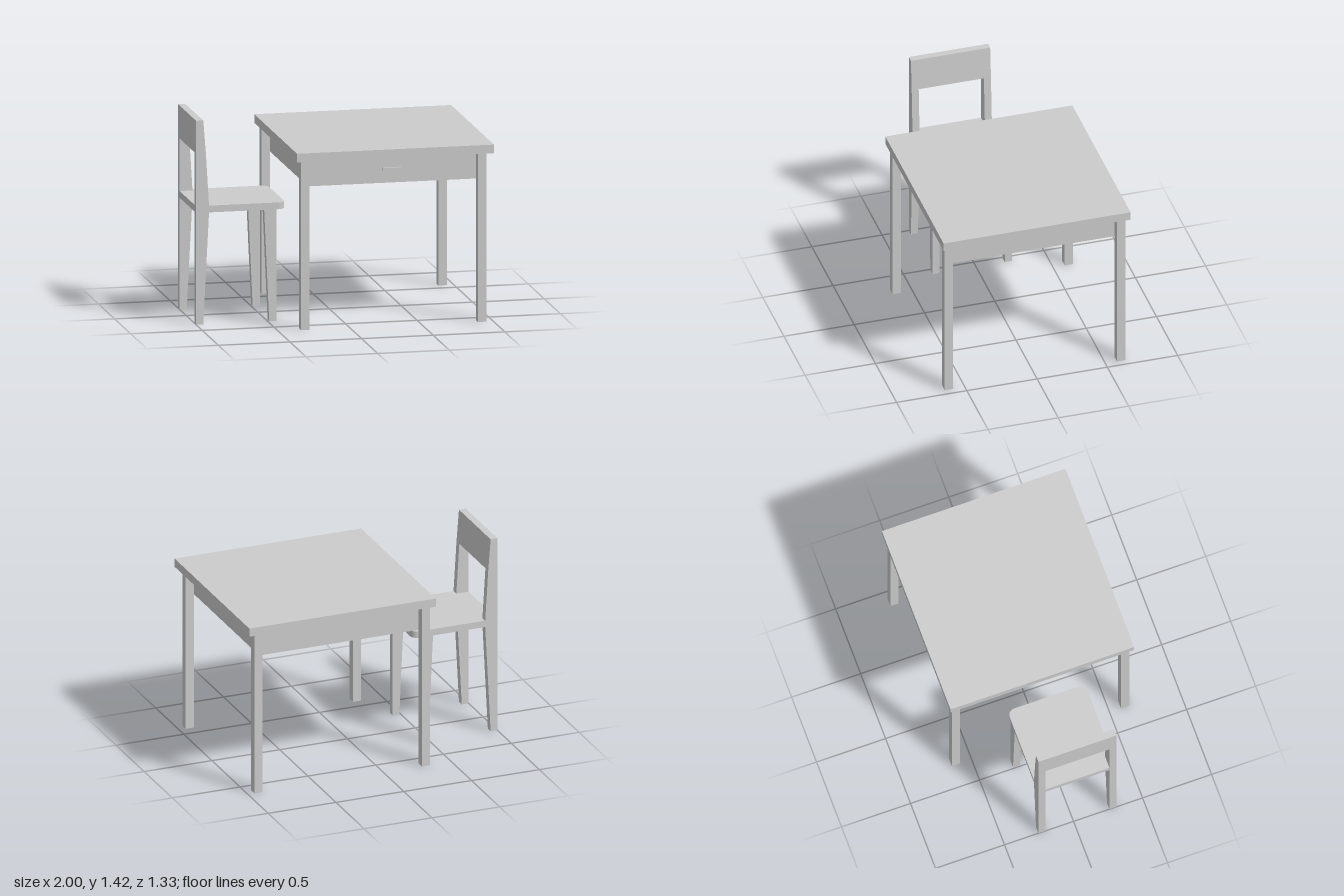
import * as THREE from 'three';

const material = new THREE.MeshStandardMaterial({ color: 0xcccccc, flatShading: true });

function add(parent, name, geometry) {
  const mesh = new THREE.Mesh(geometry, material);
  mesh.name = name;
  parent.add(mesh);
  return mesh;
}

// Box given by its extents on each axis
function box(parent, name, [x0, x1], [y0, y1], [z0, z1]) {
  const mesh = add(parent, name, new THREE.BoxGeometry(x1 - x0, y1 - y0, z1 - z0));
  mesh.position.set((x0 + x1) / 2, (y0 + y1) / 2, (z0 + z1) / 2);
  return mesh;
}

// Side profile in x and y, extruded from z0 to z1
function slab(parent, name, points, z0, z1) {
  const shape = new THREE.Shape(points.map(([x, y]) => new THREE.Vector2(x, y)));
  const geometry = new THREE.ExtrudeGeometry(shape, { depth: z1 - z0, bevelEnabled: false });
  geometry.translate(0, 0, z0);
  return add(parent, name, geometry);
}

function createTable() {
  const table = new THREE.Group();
  table.name = 'table';
  box(table, 'tableTop', [-0.375, 1], [1.175, 1.235], [-0.665, 0.665]);
  // Closed drawer case, set back to the inner corners of the legs
  box(table, 'drawerCase', [-0.282, 0.892], [0.987, 1.175], [-0.583, 0.583]);
  box(table, 'drawerHandle', [0.24, 0.37], [1.072, 1.094], [0.583, 0.6]);
  for (const x of [-0.342, 0.892]) {
    for (const z of [-0.643, 0.583]) {
      box(table, 'tableLeg', [x, x + 0.06], [0, 1.175], [z, z + 0.06]);
    }
  }
  return table;
}

function createChair() {
  const chair = new THREE.Group();
  chair.name = 'chair';
  const half = 0.282, leg = 0.05, seatY = 0.778, seatTop = 0.825;

  // Seat with rounded front corners, notched around the back legs
  const r = 0.05, front = -0.375, notch = -0.91, inner = half - leg;
  const seat = new THREE.Shape();
  seat.moveTo(-1, -inner);
  seat.lineTo(notch, -inner);
  seat.lineTo(notch, -half);
  seat.lineTo(front - r, -half);
  seat.absarc(front - r, -half + r, r, -Math.PI / 2, 0, false);
  seat.absarc(front - r, half - r, r, 0, Math.PI / 2, false);
  seat.lineTo(notch, half);
  seat.lineTo(notch, inner);
  seat.lineTo(-1, inner);
  const seatGeometry = new THREE.ExtrudeGeometry(seat, {
    depth: seatTop - seatY, bevelEnabled: false, curveSegments: 8,
  });
  seatGeometry.rotateX(-Math.PI / 2);
  add(chair, 'seat', seatGeometry).position.y = seatY;

  // Tapered legs; the back pair carries on up to the backrest
  for (const z of [-half, inner]) {
    slab(chair, 'backLeg', [
      [-1, 0], [-0.95, 0], [-0.91, seatY], [-0.91, seatTop],
      [-0.932, 1.19], [-1, 1.19],
    ], z, z + leg);
    slab(chair, 'frontLeg', [
      [-0.49, 0], [-0.44, 0], [-0.44, seatY], [-0.525, seatY],
    ], z, z + leg);
  }
  slab(chair, 'backrest', [[-1, 1.19], [-0.932, 1.19], [-0.95, 1.42], [-1, 1.42]], -half, half);
  chair.position.z = 0.028;
  return chair;
}

export function createModel() {
  const model = new THREE.Group();
  model.name = 'tableAndChair';
  model.add(createTable(), createChair());
  return model;
}
